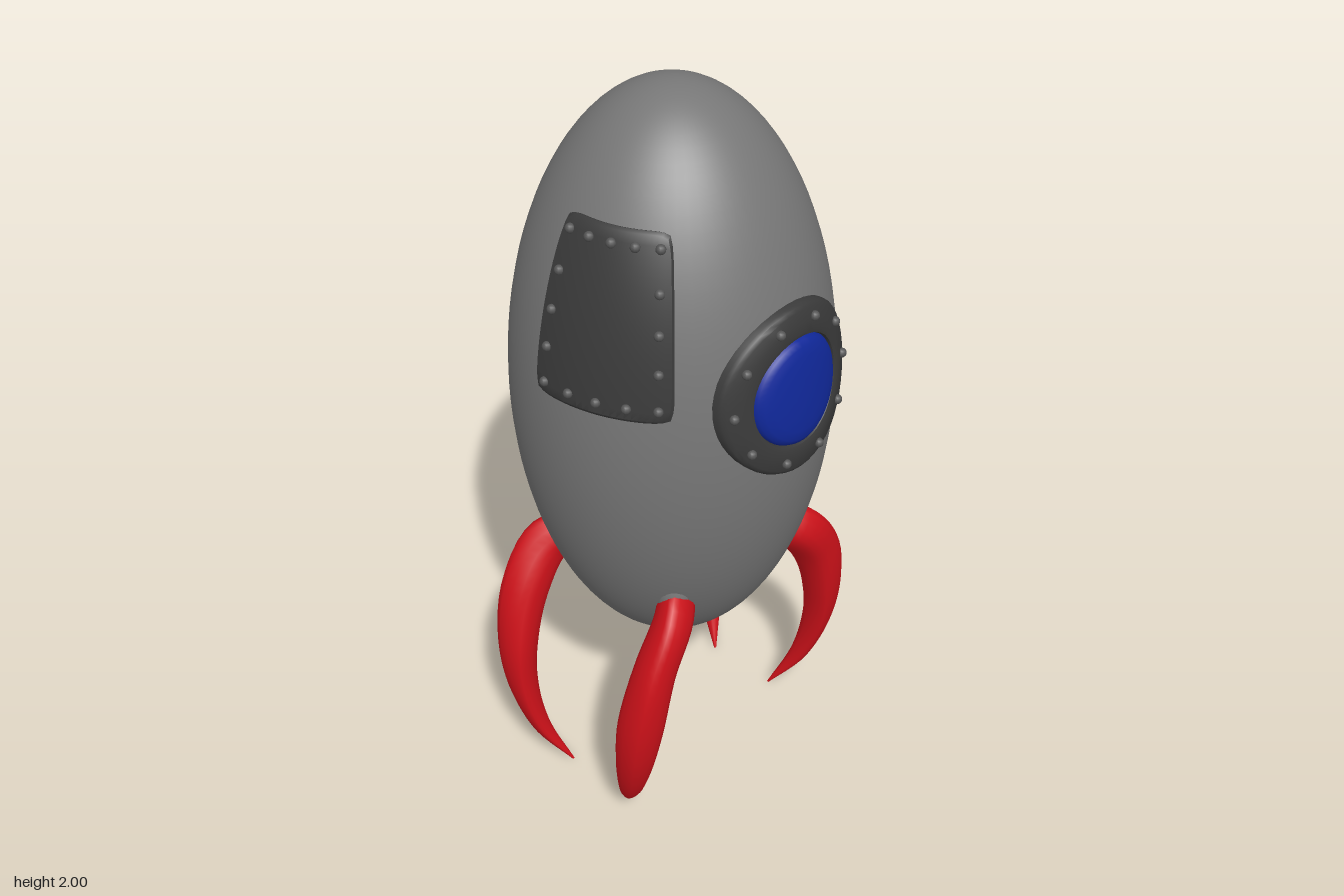
import * as THREE from 'three';
import { toCreasedNormals } from 'three/addons/utils/BufferGeometryUtils.js';

const R = 0.4, H = 0.775, CY = 1.225; // hull ellipsoid
const mat = (color) => new THREE.MeshStandardMaterial({ color });
const hullMat = mat(0x777777), plateMat = mat(0x3a3a3a), rivetMat = mat(0x555555);
const finMat = mat(0xcc1119), glassMat = mat(0x10289a);

function mesh(name, geometry, material) {
  const m = new THREE.Mesh(geometry, material);
  m.name = name;
  return m;
}

// Point on the hull at an azimuth and height, lifted along the hull normal
function onHull(a, y, lift) {
  const t = (y - CY) / H, r = R * Math.sqrt(1 - t * t);
  const n = new THREE.Vector3(r * Math.cos(a) / R ** 2, t / H, r * Math.sin(a) / R ** 2).normalize();
  return new THREE.Vector3(r * Math.cos(a), y, r * Math.sin(a)).addScaledVector(n, lift);
}
const hullFront = (x, y) => R * Math.sqrt(1 - ((y - CY) / H) ** 2 - (x / R) ** 2);

// Move every vertex of a geometry by a rule
function warp(geo, rule) {
  const p = geo.attributes.position, v = new THREE.Vector3();
  for (let i = 0; i < p.count; i++) {
    v.fromBufferAttribute(p, i);
    rule(v);
    p.setXYZ(i, v.x, v.y, v.z);
  }
  return toCreasedNormals(geo, 0.6);
}

function rivet(p, size = 0.012) {
  const m = mesh('rivet', new THREE.SphereGeometry(size, 10, 8), rivetMat);
  m.position.copy(p);
  return m;
}

// Riveted plate bent over the hull
function panel(name, azimuth, half, y0, y1, across, down) {
  const g = new THREE.Group();
  g.name = name;
  const at = (s, t, lift) => onHull(azimuth - s * half, (y0 + y1) / 2 + t * (y1 - y0) / 2, lift);
  const geo = warp(new THREE.BoxGeometry(2, 2, 2, 20, 20, 2), (v) => {
    const edge = v.z > 0.5 ? 0.965 : 1; // bevelled face
    const s = v.x * edge * (1 - 0.05 * v.y ** 10);
    const t = v.y * edge * (1 - 0.04 * v.x ** 10);
    v.copy(at(s, t, v.z > 0.5 ? 0.013 : v.z > -0.5 ? 0.008 : -0.015));
  });
  g.add(mesh('plate', geo, plateMat));
  for (let i = 0; i < across; i++) for (let j = 0; j < down; j++) {
    if (i % (across - 1) && j % (down - 1)) continue;
    g.add(rivet(at(0.8 * (2 * i / (across - 1) - 1), 0.84 * (2 * j / (down - 1) - 1), 0.014)));
  }
  return g;
}

// Round window: lathed ring and glass pressed onto the hull front
function porthole() {
  const g = new THREE.Group(), cx = -0.009, cy = 1.366;
  g.name = 'window';
  const lathe = (pts) => warp(
    new THREE.LatheGeometry(pts.map((p) => new THREE.Vector2(...p)), 48).rotateX(Math.PI / 2),
    (v) => {
      v.x += cx; v.y += cy;
      v.z += hullFront(v.x, v.y);
    });
  g.add(mesh('windowRing', lathe([[0.212, -0.02], [0.212, 0.014], [0.208, 0.02], [0.2, 0.024],
    [0.17, 0.024], [0.148, 0.024], [0.139, 0.02], [0.135, 0.01], [0.134, -0.01]]), plateMat));
  g.add(mesh('windowGlass', lathe([[0.137, -0.005], [0.136, 0.012], [0.13, 0.021], [0.118, 0.027],
    [0.095, 0.029], [0.065, 0.03], [0.03, 0.03], [0, 0.03]]), glassMat));
  for (let i = 0; i < 10; i++) {
    const a = i * Math.PI / 5, x = cx + 0.186 * Math.cos(a), y = cy + 0.178 * Math.sin(a);
    g.add(rivet(new THREE.Vector3(x, y, hullFront(x, y) + 0.026)));
  }
  return g;
}

// Curved leg fin: x, y, z, half depth, half width
const FIN = [
  [0.17, 0.74, 0.17, 0.066, 0.046], [0.24, 0.705, 0.225, 0.07, 0.05],
  [0.32, 0.59, 0.235, 0.066, 0.054], [0.366, 0.43, 0.228, 0.054, 0.06],
  [0.374, 0.28, 0.21, 0.04, 0.05], [0.352, 0.13, 0.17, 0.024, 0.031],
  [0.302, 0.002, 0.105, 0.003, 0.003],
];
function finGeometry(sx, sz) {
  const path = new THREE.CatmullRomCurve3(FIN.map((f) => new THREE.Vector3(f[0], f[1], f[2])));
  const size = new THREE.CatmullRomCurve3(FIN.map((f) => new THREE.Vector3(f[3], f[4], 0)));
  const rows = 32, cols = 16, pos = [], idx = [];
  const pw = (c) => Math.sign(c) * Math.abs(c) ** 1.25;
  for (let i = 0; i <= rows; i++) {
    const t = i / rows, p = path.getPoint(t), w = size.getPoint(t), T = path.getTangent(t);
    const S = new THREE.Vector3(0.7, 0, -0.9);
    S.addScaledVector(T, -S.dot(T)).normalize();
    const N = S.clone().cross(T);
    for (let j = 0; j < cols; j++) {
      const a = j / cols * Math.PI * 2;
      const v = p.clone().addScaledVector(S, pw(Math.cos(a)) * w.y).addScaledVector(N, pw(Math.sin(a)) * w.x);
      pos.push(v.x * sx, Math.max(v.y, 0), v.z * sz);
    }
  }
  const tri = (a, b, c) => (sx * sz > 0 ? idx.push(a, b, c) : idx.push(a, c, b));
  for (let i = 0; i < rows; i++) for (let j = 0; j < cols; j++) {
    const k = (j + 1) % cols, a = i * cols, b = a + cols;
    tri(a + j, b + j, a + k);
    tri(a + k, b + j, b + k);
  }
  const geo = new THREE.BufferGeometry();
  geo.setAttribute('position', new THREE.Float32BufferAttribute(pos, 3));
  geo.setIndex(idx);
  geo.computeVertexNormals();
  return geo;
}

export function createModel() {
  const model = new THREE.Group();
  model.name = 'rocket';
  const body = new THREE.Group();
  body.name = 'body';
  body.position.set(-0.007, 0, -0.014);
  model.add(body);

  const hull = mesh('hull', new THREE.SphereGeometry(1, 64, 48), hullMat);
  hull.scale.set(R, H, R);
  hull.position.y = CY;
  body.add(hull);

  body.add(porthole());
  body.add(panel('sidePanel', 0, 0.4, 0.735, 1.245, 4, 5));
  body.add(panel('upperPanel', Math.PI - 0.31, 0.45, 1.36, 1.78, 5, 5));

  for (const sx of [1, -1]) for (const sz of [1, -1]) {
    body.add(mesh('fin', finGeometry(sx, sz), finMat));
    // Smooth swelling where the fin meets the hull
    const fairing = mesh('finFairing', new THREE.SphereGeometry(1, 20, 14), hullMat);
    fairing.scale.set(0.045, 0.09, 0.045);
    fairing.position.set(sx * 0.212, 0.755, sz * 0.2);
    body.add(fairing);
  }
  return model;
}
